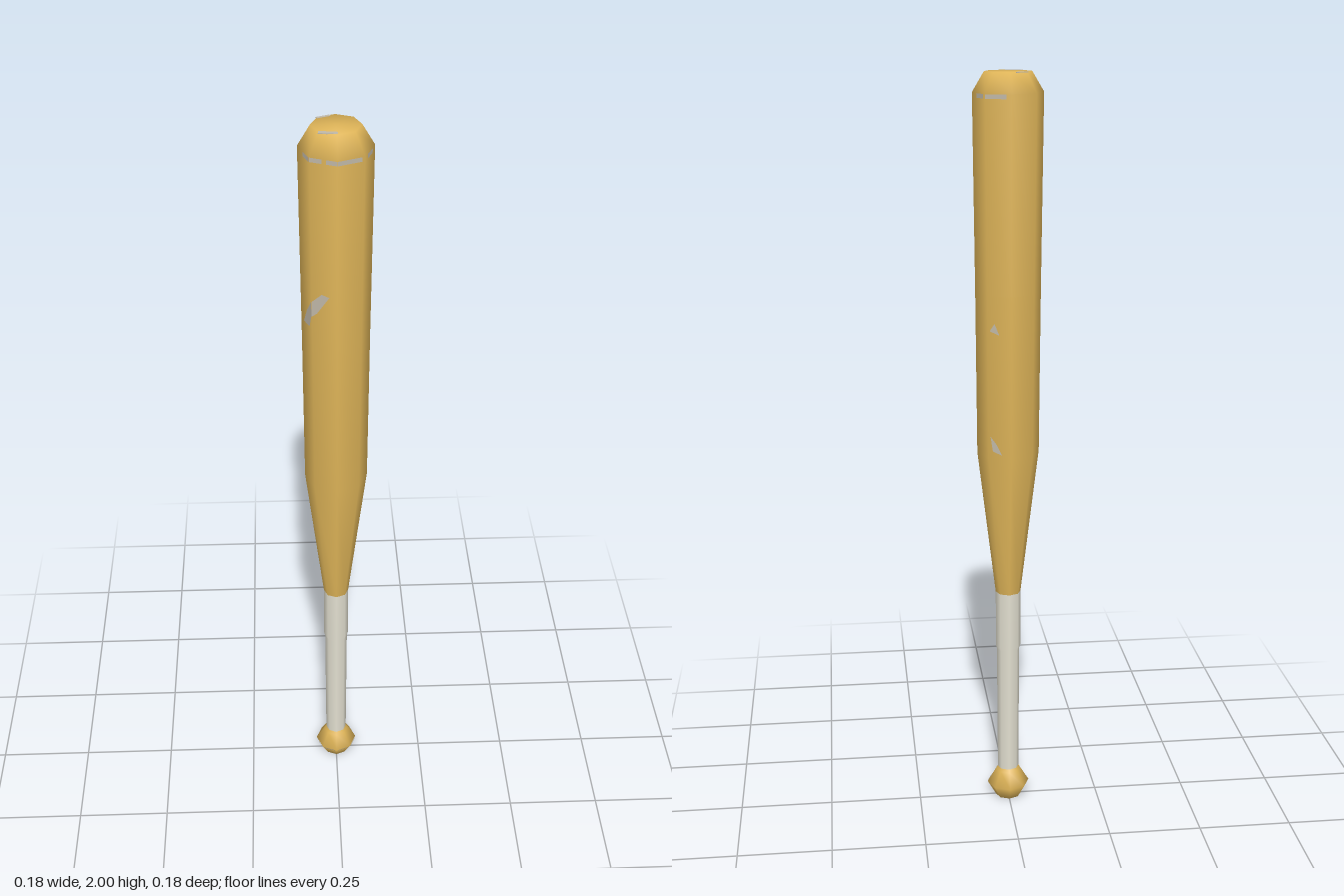
import * as THREE from 'three';

const SIDES = 8;
const barrelProfile = [[0.034, 0.62], [0.082, 1.02], [0.085, 1.45], [0.09, 1.95], [0.06, 2], [0, 2]];
const gripProfile = [[0.029, 0.08], [0.031, 0.45], [0.034, 0.46], [0.034, 0.62]];
const knobProfile = [[0, 0], [0.035, 0], [0.058, 0.04], [0.034, 0.08], [0.028, 0.09]];

// Radius of a profile at a height
function radiusAt(profile, y) {
  for (let i = 1; i < profile.length; i++) {
    const [r0, y0] = profile[i - 1], [r1, y1] = profile[i];
    if (y >= y0 && y <= y1 && y1 > y0) return r0 + (r1 - r0) * (y - y0) / (y1 - y0);
  }
  return profile[0][0];
}

// Flat worn patch lying on one facet; outline points are [across 0..1, height]
function scuffGeometry(profile, facet, outline) {
  const corner = (k) => {
    const a = k * Math.PI * 2 / SIDES;
    return new THREE.Vector3(Math.sin(a), 0, Math.cos(a));
  };
  const a = corner(facet), b = corner(facet + 1);
  const out = a.clone().add(b).normalize().multiplyScalar(0.0015);
  const points = outline.map(([u, y]) => {
    const p = a.clone().lerp(b, u).multiplyScalar(radiusAt(profile, y)).add(out);
    p.y = y;
    return p;
  });
  const faces = THREE.ShapeUtils.triangulateShape(outline.map(([u, y]) => new THREE.Vector2(u, y)), []);
  const geometry = new THREE.BufferGeometry().setFromPoints(points);
  geometry.setIndex(faces.flat());
  geometry.computeVertexNormals();
  return geometry;
}

export function createModel() {
  const wood = new THREE.MeshStandardMaterial({ name: 'golden wood', color: 0xdeb458 });
  const wrap = new THREE.MeshStandardMaterial({ name: 'pale grip wrap', color: 0xe2dfd0 });
  const worn = new THREE.MeshStandardMaterial({ name: 'worn grey', color: 0xc0b8a8, side: THREE.DoubleSide });

  const model = new THREE.Group();
  model.name = 'bat';
  const add = (name, geometry, material) => {
    const mesh = new THREE.Mesh(geometry, material);
    mesh.name = name;
    model.add(mesh);
    return mesh;
  };
  const turn = (profile) => new THREE.LatheGeometry(profile.map(([r, y]) => new THREE.Vector2(r, y)), SIDES);

  // Turned body
  add('barrel', turn(barrelProfile), wood);
  add('grip', turn(gripProfile), wrap);
  add('knob', turn(knobProfile), wood);

  // Broken worn ring below the tip: [facet, start, end]
  const ring = [[-2, 0.5, 1], [-1, 0, 0.45], [-1, 0.6, 1], [0, 0, 0.9], [1, 0.2, 0.7], [2, 0.4, 0.9], [3, 0, 0.8]];
  for (const [facet, u0, u1] of ring) {
    add('tipScuff', scuffGeometry(barrelProfile, facet,
      [[u0, 1.938], [u1, 1.938], [u1, 1.949], [u0, 1.949]]), worn);
  }

  // Chips on the barrel
  add('frontScuff', scuffGeometry(barrelProfile, -1,
    [[0, 1.535], [0.2, 1.545], [0.7, 1.595], [0.4, 1.6], [0, 1.575]]), worn);
  add('frontScuff', scuffGeometry(barrelProfile, -2,
    [[0.3, 1.5], [0.8, 1.5], [1, 1.535], [1, 1.575], [0.6, 1.54]]), worn);
  add('backScuff', scuffGeometry(barrelProfile, 3, [[0.1, 1.36], [0.5, 1.35], [0.3, 1.38]]), worn);
  add('backScuff', scuffGeometry(barrelProfile, 3,
    [[0.1, 1.08], [0.2, 1.04], [0.6, 1.03], [0.35, 1.06]]), worn);

  // Worn line around the front of the knob
  for (const facet of [-2, -1, 0, 1]) {
    add('knobScuff', scuffGeometry(knobProfile, facet,
      [[0.1, 0.036], [0.9, 0.036], [0.9, 0.04], [0.1, 0.04]]), worn);
  }

  // Worn patches on the flat tip: x, z, width, depth
  for (const [x, z, w, d, spin] of [[-0.028, -0.046, 0.034, 0.008, 0.4], [-0.02, 0.046, 0.045, 0.012, -0.15]]) {
    const patch = add('topScuff', new THREE.BoxGeometry(w, 0.002, d), worn);
    patch.position.set(x, 1.9995, z);
    patch.rotation.y = spin;
  }
  return model;
}
